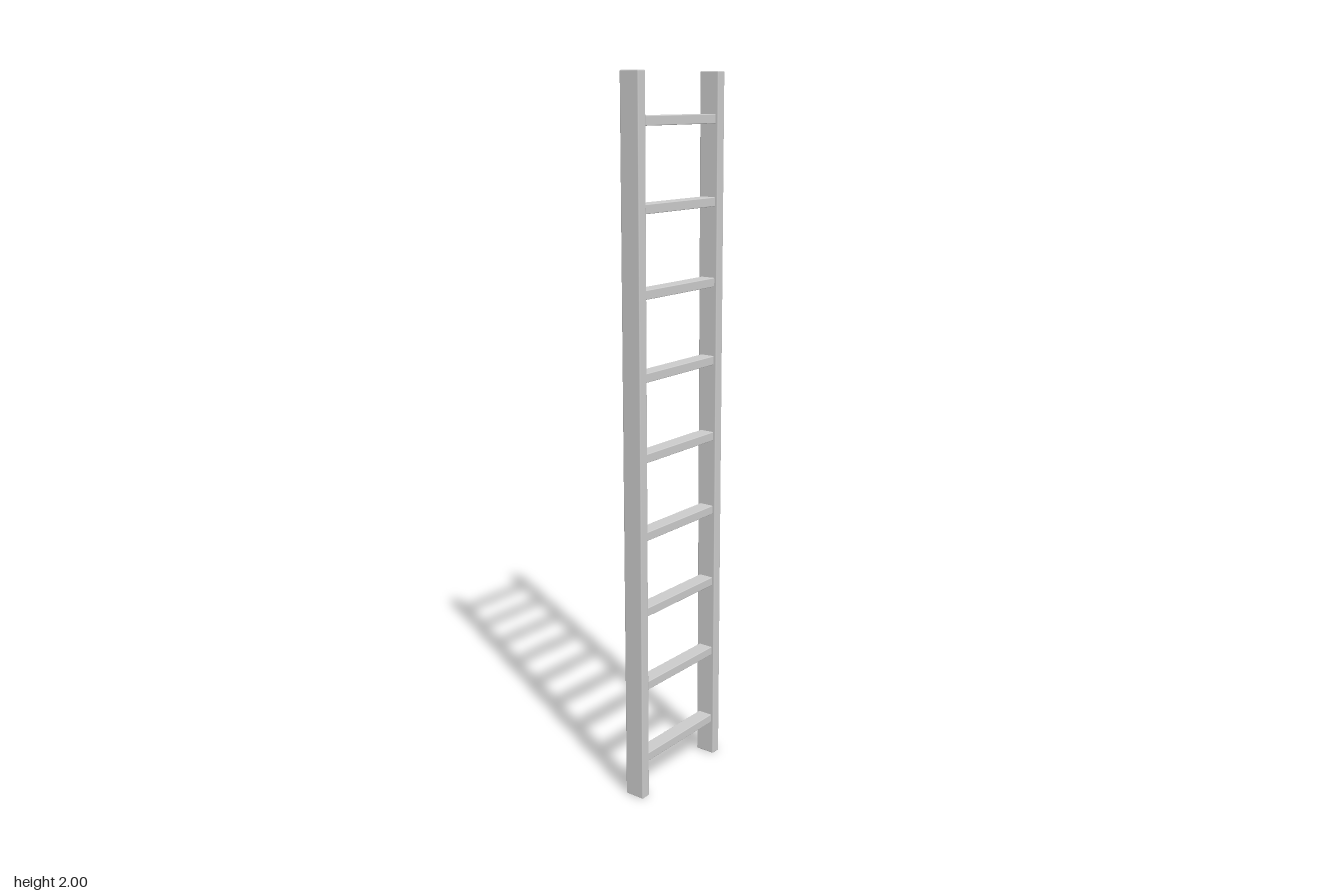
import * as THREE from 'three';
import { RoundedBoxGeometry } from 'three/addons/geometries/RoundedBoxGeometry.js';

export function createModel() {
  const ladder = new THREE.Group();
  ladder.name = 'ladder';
  const material = new THREE.MeshStandardMaterial({ color: 0xcccccc });

  function addPart(name, geometry, y, z) {
    const mesh = new THREE.Mesh(geometry, material);
    mesh.name = name;
    mesh.position.set(0, y, z);
    ladder.add(mesh);
  }

  // Two upright rails with softened edges
  const railGeometry = new RoundedBoxGeometry(0.06, 2, 0.03, 2, 0.003);
  addPart('frontRail', railGeometry, 1, 0.171);
  addPart('backRail', railGeometry, 1, -0.171);

  // Nine evenly spaced flat rungs, let slightly into the rails
  const rungGeometry = new RoundedBoxGeometry(0.044, 0.025, 0.33, 2, 0.002);
  const rungCount = 9, firstRung = 0.114, spacing = 0.2203;
  for (let i = 0; i < rungCount; i++) {
    addPart(`rung${i + 1}`, rungGeometry, firstRung + i * spacing, 0);
  }

  return ladder;
}
